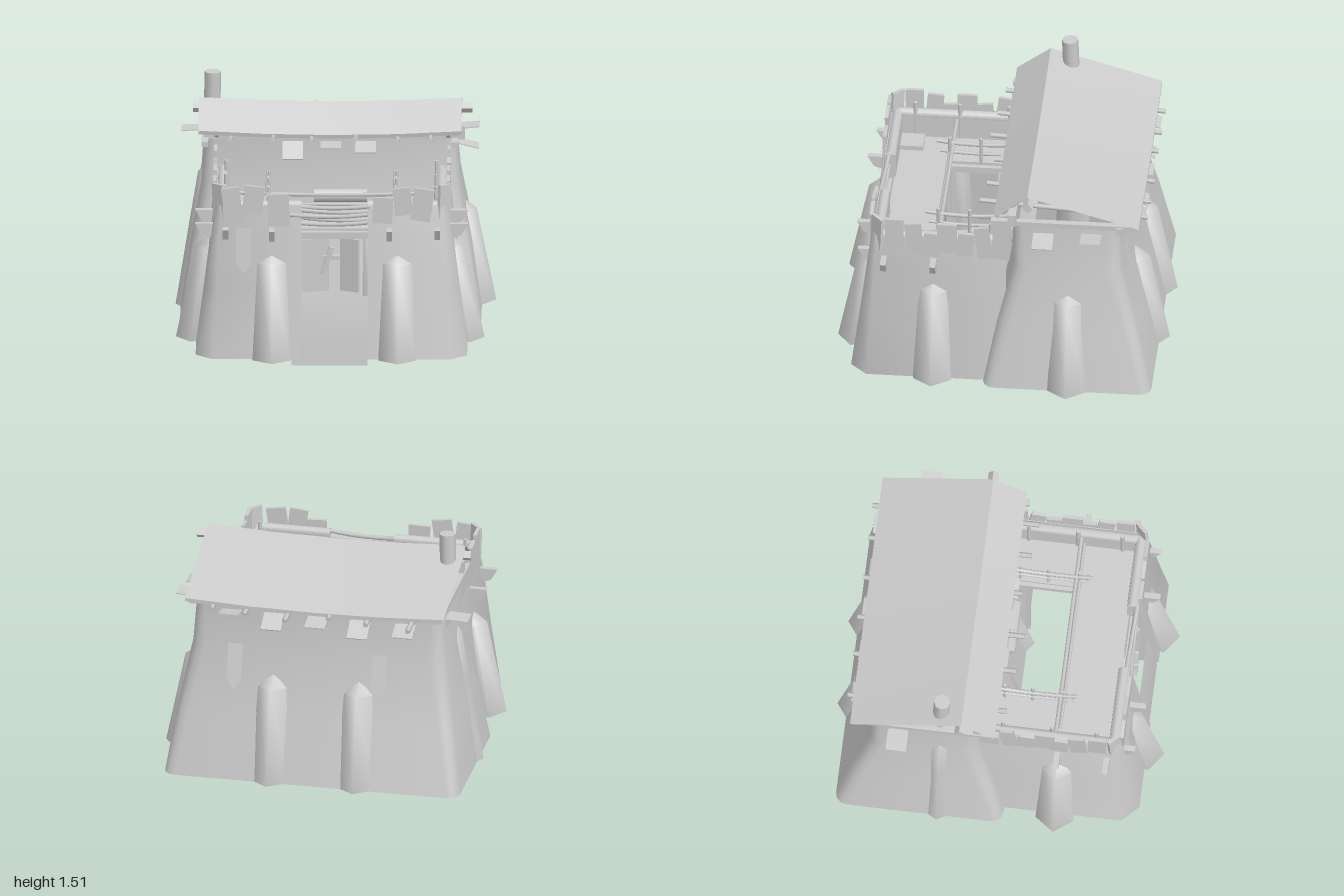
import * as THREE from 'three';
import { toCreasedNormals } from 'three/addons/utils/BufferGeometryUtils.js';

const mat = new THREE.MeshStandardMaterial({ color: 0xcccccc, side: THREE.DoubleSide });
const V = (x, y, z) => new THREE.Vector3(x, y, z);

export function createModel() {
  const root = new THREE.Group();
  const add = (name, geo) => {
    const m = new THREE.Mesh(geo, mat);
    m.name = name;
    root.add(m);
    return m;
  };
  const box = (name, w, h, d, x, y, z, rx = 0, ry = 0, rz = 0) => {
    const m = add(name, new THREE.BoxGeometry(w, h, d));
    m.position.set(x, y, z);
    m.rotation.set(rx, ry, rz, 'YXZ');
    return m;
  };
  const pole = (name, a, b, r, sides = 6) => {
    const m = add(name, new THREE.CylinderGeometry(r, r, a.distanceTo(b), sides));
    m.position.copy(a).add(b).multiplyScalar(0.5);
    m.quaternion.setFromUnitVectors(V(0, 1, 0), b.clone().sub(a).normalize());
    return m;
  };
  // Skin between cross-sections of equal point count
  const loft = (name, rings, closed, crease = 0.85) => {
    const n = rings[0].length, idx = [];
    for (let i = 0; i < rings.length - 1; i++) {
      for (let j = 0; j < (closed ? n : n - 1); j++) {
        const a = i * n + j, b = i * n + (j + 1) % n;
        idx.push(a, a + n, b, b, a + n, b + n);
      }
    }
    const g = new THREE.BufferGeometry();
    g.setAttribute('position', new THREE.Float32BufferAttribute(rings.flat(2), 3));
    g.setIndex(idx);
    return add(name, toCreasedNormals(g, crease));
  };

  // Keep: battered base with a straight upper storey
  const roundedRing = ([y, x0, x1, z0, z1, r]) => {
    const out = [];
    [[x1 - r, z1 - r], [x0 + r, z1 - r], [x0 + r, z0 + r], [x1 - r, z0 + r]].forEach(([cx, cz], q) => {
      for (let k = 0; k <= 3; k++) {
        const t = (q + k / 3) * Math.PI / 2;
        out.push([cx + r * Math.cos(t), y, cz + r * Math.sin(t)]);
      }
    });
    return out;
  };
  loft('keepWalls', [
    [0.04, -0.94, 0.88, -0.94, 0.08, 0.07],
    [0.45, -0.88, 0.82, -0.85, 0.0, 0.08],
    [0.83, -0.815, 0.75, -0.75, -0.085, 0.09],
    [1.16, -0.79, 0.72, -0.74, -0.09, 0.06],
  ].map(roundedRing), true, 0.6);

  // Court wall: two mirrored halves either side of the gate
  const courtPath = (side, o, y) => {
    const w = side < 0 ? 0.84 : 0.8;
    return [
      [0.2, 0.89 - o], [w - 0.1 - 0.414 * o, 0.89 - o],
      [w - o, 0.79 - 0.414 * o], [w - o, -0.05],
    ].map(([x, z]) => [side * x, y, z]);
  };
  for (const s of [-1, 1]) {
    loft('courtWall', [[0, 0.04], [0.055, 0.45], [0.1, 0.82], [0.125, 0.97], [0.19, 0.97], [0.19, 0.8]]
      .map(([o, y]) => courtPath(s, o, y)), false);
    const jamb = new THREE.Shape([[0.89, 0.04], [0.835, 0.45], [0.79, 0.82], [0.765, 0.97], [0.7, 0.97], [0.68, 0.04]]
      .map(([z, y]) => new THREE.Vector2(-z, y)));
    const j = add('gateJamb', new THREE.ShapeGeometry(jamb));
    j.rotation.y = Math.PI / 2;
    j.position.x = s * 0.2;
    const path = new THREE.CurvePath();
    const pts = courtPath(s, 0.16, 0.96).map(p => V(...p));
    for (let i = 0; i < 3; i++) path.add(new THREE.LineCurve3(pts[i], pts[i + 1]));
    add('parapetRoll', new THREE.TubeGeometry(path, 48, 0.033, 8));
  }

  // Pointed buttresses, leaning into the wall: x, z, facing angle
  const buttress = (x, z, a) => {
    const ring = (y, r, back) => Array.from({ length: 5 }, (_, k) => {
      const t = k * Math.PI * 2 / 5;
      return [r * Math.sin(t), y, r * Math.cos(t) - back];
    });
    const m = loft('buttress', [ring(0.04, 0.122, 0), ring(0.62, 0.092, 0.09), ring(0.7, 0.002, 0.11)], true, 1.3);
    m.position.set(x, 0, z);
    m.rotation.y = a;
  };
  const H = Math.PI / 2;
  [[-0.38, 0.875, 0], [0.38, 0.875, 0], [-0.84, 0.39, -H], [0.78, 0.39, H], [0.845, -0.43, H],
    [-0.3, -0.88, 2 * H], [0.23, -0.88, 2 * H], [-0.3, 0.01, 0], [0.23, 0.01, 0]].forEach(b => buttress(...b));

  // Tall flue on the keep's right wall, chimney above the roof
  loft('flue', [[0.04, 0.12, -0.85], [0.6, 0.085, -0.795], [0.87, 0.07, -0.765], [0.96, 0.002, -0.77]].map(([y, r, x]) =>
    Array.from({ length: 6 }, (_, k) => {
      const t = k * Math.PI / 3;
      return [x - r * Math.cos(t), y, -0.32 + r * Math.sin(t)];
    })), true, 1.3);
  pole('chimney', V(-0.75, 1.2, -0.32), V(-0.745, 1.505, -0.31), 0.05, 8);

  // Sagging pitched roof
  const roofRing = u => {
    const x = -0.83 + 1.59 * u, sag = 0.025 * (1 - (2 * u - 1) ** 2);
    return [[0.02, 1.225], [-0.185, 1.378], [-0.86, 1.18], [-0.86, 1.16], [-0.185, 1.352], [0.015, 1.2]]
      .map(([z, y]) => [x, y - sag, z]);
  };
  loft('roof', [0, 0.25, 0.5, 0.75, 1].map(roofRing), true, 0.3);
  box('ridgeBeam', 1.69, 0.045, 0.045, -0.02, 1.315, -0.19, 0.7);
  box('purlin', 1.58, 0.08, 0.05, -0.01, 1.19, -0.09);
  box('backPlate', 1.55, 0.045, 0.045, -0.02, 1.13, -0.74);
  for (const x of [-0.79, 0.72]) box('tieBeam', 0.04, 0.03, 0.86, x, 1.145, -0.39);
  [-0.64, -0.38, -0.15, 0.12, 0.37, 0.57].forEach((x, i) =>
    pole('joist', V(x, 1.185 + 0.008 * (i % 2), 0.07 + 0.025 * (i % 3)), V(x + 0.02, 1.1 + 0.02 * (i % 3), -0.9), 0.016));
  for (const x of [-0.72, 0.68]) {
    pole('gableRafter', V(x, 1.18, -0.02), V(x, 1.33, -0.19), 0.015);
    pole('gableRafter', V(x, 1.33, -0.19), V(x, 1.15, -0.82), 0.015);
  }

  // Keep windows and their propped flaps
  const opening = (x, y, z, a, tilt) => {
    const g = new THREE.Group();
    g.name = 'window';
    const frame = box('windowShutter', 0.11, 0.06, 0.012, 0, 0, 0);
    const flap = box('windowFlap', 0.125, 0.006, 0.13, 0, 0.03 - 0.06 * Math.sin(tilt), 0.07, tilt);
    g.add(frame, flap);
    g.position.set(x, y, z);
    g.rotation.y = a;
    root.add(g);
  };
  [[-0.58, 0.3], [-0.3, 0.6], [-0.04, 0.15], [0.23, 0.5], [0.49, -0.2]].forEach(([x, t]) => opening(x, 1.05, -0.745, 2 * H, t));
  [[-0.26, 0.7], [-0.03, 0.05], [0.18, 0.3]].forEach(([x, t]) => opening(x, 1.1, -0.09, 0, t));
  opening(0.73, 1.05, -0.28, H, 0.25);
  opening(0.73, 1.06, -0.57, H, -0.1);
  opening(-0.8, 1.05, -0.57, -H, 0.05);

  // Tilted plank battlements: position, height, turn
  const merlon = (x, y, z, a, w, h, tilt) => box('battlement', w, h, 0.022, x, y, z, 0, a, tilt);
  [[-0.62, 0.98, 0.11, 0.21, 0.12], [-0.49, 1.01, 0.12, 0.17, -0.12], [-0.34, 0.945, 0.13, 0.2, 0.03],
    [0.29, 0.945, 0.12, 0.16, -0.04], [0.41, 1.0, 0.11, 0.17, 0.12], [0.53, 0.98, 0.12, 0.2, -0.15]]
    .forEach(([x, y, w, h, t]) => merlon(x, y, 0.775, 0, w, h, t));
  [[0.63, 1.0, 0.11, 0.2, 0], [0.51, 0.97, 0.1, 0.21, 0.1], [0.4, 0.93, 0.11, 0.16, -0.08], [0.31, 0.98, 0.19, 0.2, 0],
    [0.2, 0.94, 0.1, 0.16, -0.1], [0.09, 0.96, 0.09, 0.22, 0.14], [-0.02, 0.98, 0.11, 0.26, -0.04]].forEach(([z, y, w, h, t]) => {
    const ww = Math.min(w, 0.12);
    merlon(0.685, y, z, H, ww, h, t);
    merlon(-0.725, y, z, H, ww, h, -t);
  });
  merlon(-0.7, 0.985, 0.735, -H / 2, 0.09, 0.22, 0.06);
  merlon(0.66, 0.985, 0.735, H / 2, 0.09, 0.22, -0.06);

  // Wall walk on its beams, posts and wedge-cut beam ends
  box('sideWalk', 0.26, 0.02, 0.74, -0.53, 0.8, 0.33);
  box('sideWalk', 0.27, 0.02, 0.74, 0.475, 0.8, 0.33);
  box('frontWalk', 1.26, 0.02, 0.33, -0.02, 0.801, 0.545);
  box('hatch', 0.14, 0.03, 0.14, -0.565, 0.825, 0.63);
  const wedge = new THREE.ExtrudeGeometry(
    new THREE.Shape([[-0.05, 0.84], [0.085, 0.84], [0.045, 0.77], [-0.05, 0.74]].map(p => new THREE.Vector2(...p))),
    { depth: 0.035, bevelEnabled: false }).translate(0, 0, -0.0175);
  const beamEnd = (x, z, a) => {
    const m = add('beamEnd', wedge);
    m.position.set(x, 0, z);
    m.rotation.y = a;
  };
  for (const x of [-0.66, -0.38, 0.33, 0.62]) {
    const corner = Math.abs(x) > 0.5;
    box('walkBeam', 0.03, 0.04, 0.82, x, 0.775, 0.38);
    beamEnd(x, corner ? 0.77 : 0.8, -H);
    for (const z of [0.08, 0.39, 0.68]) box('walkPost', 0.03, 0.75, 0.03, x, 0.42, z);
  }
  for (const z of [0.39, 0.69]) {
    box('crossBeam', 1.38, 0.04, 0.03, -0.02, 0.77, z);
    beamEnd(0.72, z, 0);
    beamEnd(-0.76, z, Math.PI);
  }

  // Sagging handrails around the court
  const rail = (name, a, b, dip, r) => {
    const mid = a.clone().lerp(b, 0.5);
    mid.y -= dip;
    add(name, new THREE.TubeGeometry(new THREE.QuadraticBezierCurve3(a, mid, b), 8, r, 6));
  };
  for (const x of [-0.41, 0.36]) {
    for (const z of [0.03, 0.2, 0.39]) pole('railPost', V(x, 0.78, z), V(x + 0.01, 0.98, z), 0.011);
    rail('handrail', V(x, 0.95, -0.05), V(x, 0.95, 0.47), 0.04, 0.012);
    rail('handrail', V(x, 0.88, -0.05), V(x, 0.88, 0.45), 0.03, 0.01);
  }
  rail('handrail', V(-0.65, 0.94, 0.37), V(0.62, 0.94, 0.37), 0.03, 0.012);
  rail('handrail', V(-0.6, 0.88, 0.39), V(0.6, 0.88, 0.39), 0.02, 0.01);
  for (const x of [-0.66, 0.61]) {
    for (const z of [0.05, 0.35, 0.62]) pole('innerPost', V(x, 0.8, z), V(x, 1.05, z), 0.013);
  }

  // Gate: barricade, ajar leaves, bar and poles above
  const ramp = [[0, 0.88], [0.15, 0.865], [0.3, 0.845], [0.42, 0.82]];
  loft('gateRamp', ramp.map(([y, z]) => [[-0.26, y, z], [0.2, y, z]]), false);
  box('gateLeaf', 0.17, 0.33, 0.02, -0.12, 0.595, 0.75, 0, 0.25);
  box('gateLeaf', 0.12, 0.33, 0.02, 0.09, 0.595, 0.75, 0, -0.45);
  box('gateBar', 0.03, 0.18, 0.03, -0.045, 0.63, 0.78, 0, 0, -0.3);
  box('gateBarPeg', 0.1, 0.025, 0.025, -0.02, 0.65, 0.78);
  box('gateLintel', 0.44, 0.04, 0.04, 0, 0.78, 0.74);
  [0.965, 0.94, 0.915, 0.89, 0.865].forEach((y, i) =>
    rail('gatePole', V(-0.27, y + 0.01 * (i % 2), 0.74 + 0.015 * (i % 3)), V(0.21, y - 0.01 * (i % 2), 0.76 - 0.01 * (i % 2)), 0.03, 0.013));

  // Keep doorway facing the court
  pole('doorRoll', V(-0.13, 0.82, 0.02), V(0.19, 0.82, 0.02), 0.04, 8);
  box('keepDoor', 0.26, 0.62, 0.02, 0.02, 0.4, 0.02, -0.2);
  box('doorStep', 0.3, 0.02, 0.14, 0.03, 0.03, 0.0);

  // Pointed hangings on the sloping walls
  const cloth = new THREE.ShapeGeometry(new THREE.Shape(
    [[-0.045, 0], [0.045, 0], [0.045, -0.22], [0, -0.28], [-0.045, -0.22]].map(p => new THREE.Vector2(...p))));
  [[-0.55, 0.805, 0, 0.84], [0.47, -0.752, Math.PI, 0.86], [-0.42, -0.752, Math.PI, 0.86]].forEach(([x, z, a, y]) => {
    const m = add('hanging', cloth);
    m.position.set(x, y, z);
    m.rotation.set(a ? -0.27 : -0.12, a, 0, 'YXZ');
  });
  return root;
}
